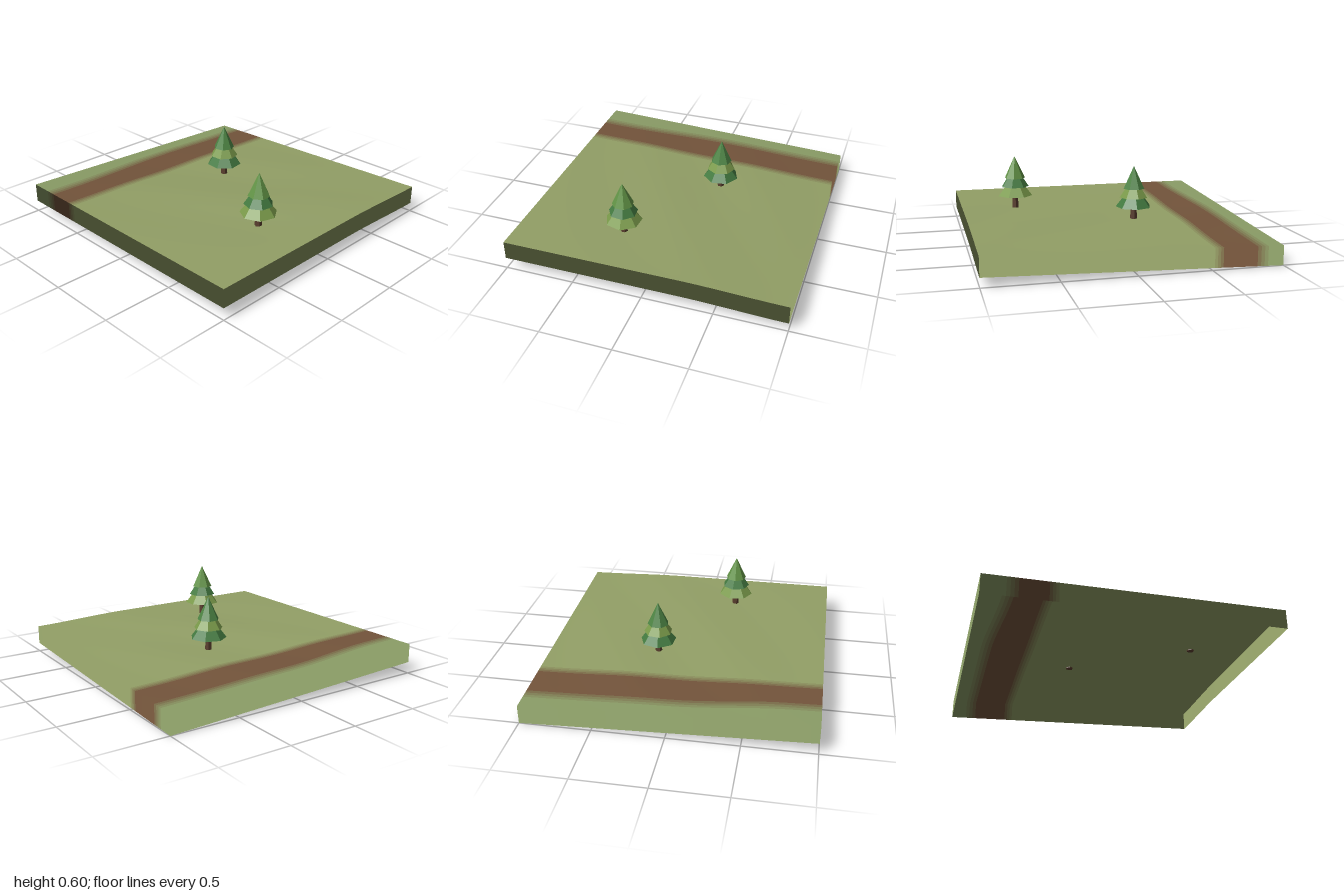
import * as THREE from 'three';
import { mergeGeometries } from 'three/addons/utils/BufferGeometryUtils.js';

const SKIRT = 0.135;
const DIRT = new THREE.Color(0x73543b);

// Ground height: level at the front, falling to the back, most of all at the back right corner (-x),
// with faint diagonal ripples that fade out towards the edges
function height(x, z) {
  const low = THREE.MathUtils.lerp(0.135, 0.218, (z + 1) / 2);
  const high = 0.221 - 0.021 * THREE.MathUtils.smoothstep(-z, 0.25, 1.05);
  const ripple = 0.006 * Math.sin(7.85 * (0.5 * x + 0.85 * z)) * (1 - x * x) * (1 - z * z);
  return THREE.MathUtils.lerp(low, high, (x + 1) / 2) + ripple;
}

// Smooth ground normal from the slope of the height rule
function groundNormal(x, z) {
  const e = 0.02;
  return new THREE.Vector3(
    height(x - e, z) - height(x + e, z), 2 * e, height(x, z - e) - height(x, z + e)).normalize();
}

// Grid surface from a rule (u, v) -> [x, y, z], shaded with the ground's normals
function sheet(nu, nv, rule) {
  const pos = [], normal = [], index = [];
  for (let j = 0; j <= nv; j++)
    for (let i = 0; i <= nu; i++) {
      const [x, y, z] = rule(i / nu, j / nv);
      pos.push(x, y, z);
      normal.push(...groundNormal(x, z));
    }
  for (let j = 0; j < nv; j++)
    for (let i = 0; i < nu; i++) {
      const a = j * (nu + 1) + i, b = a + 1, c = a + nu + 1, d = c + 1;
      index.push(a, b, d, a, d, c);
    }
  const geo = new THREE.BufferGeometry();
  geo.setAttribute('position', new THREE.Float32BufferAttribute(pos, 3));
  geo.setAttribute('normal', new THREE.Float32BufferAttribute(normal, 3));
  geo.setIndex(index);
  return geo;
}

// One lengthwise strip of ground between the edge lines x = left(z) and x = right(z),
// with the hanging skirt along whichever outer edges it reaches; open below
function strip(name, left, right, color, columns) {
  const N = 24;
  const at = (u, z, drop) => {
    const x = THREE.MathUtils.lerp(left(z), right(z), u);
    return [x, height(x, z) - drop, z];
  };
  const parts = [
    sheet(columns, N, (u, v) => at(u, 1 - 2 * v, 0)),             // top
    sheet(columns, 1, (u, v) => at(u, 1, SKIRT * (1 - v))),       // front skirt
    sheet(columns, 1, (u, v) => at(1 - u, -1, SKIRT * (1 - v))),  // back skirt
  ];
  if (left(0) === -1) parts.push(sheet(N, 1, (u, v) => at(0, 2 * u - 1, SKIRT * (1 - v))));
  if (right(0) === 1) parts.push(sheet(N, 1, (u, v) => at(1, 1 - 2 * u, SKIRT * (1 - v))));
  const material = new THREE.MeshStandardMaterial({ color, side: THREE.DoubleSide });
  const mesh = new THREE.Mesh(mergeGeometries(parts), material);
  mesh.name = name;
  return mesh;
}

// Grass sheet with a dirt path whose soft borders are narrow blended strips
function makeGround() {
  const ground = new THREE.Group();
  ground.name = 'ground';
  const fixed = x => () => x;
  const bend = x => z => x + 0.05 * THREE.MathUtils.smoothstep(z, 0, 0.8);
  const edges = [fixed(-1), bend(-0.89), bend(-0.865), bend(-0.84), bend(-0.815),
    fixed(-0.575), fixed(-0.555), fixed(-0.535), fixed(-0.515), fixed(1)];
  const dirt = [0, 0.25, 0.5, 0.75, 1, 0.75, 0.5, 0.25, 0];
  dirt.forEach((t, i) => {
    const name = t === 0 ? 'grass' : t === 1 ? 'dirtPath' : 'pathBorder';
    const columns = i === 8 ? 20 : t === 1 ? 4 : 1;
    const grass = new THREE.Color(i < 4 ? 0x8a9c66 : 0x929f66);
    ground.add(strip(name, edges[i], edges[i + 1], grass.lerp(DIRT, t), columns));
  });
  return ground;
}

// Fir tree: trunk standing in the ground and three stacked seven-sided cones
function makeTree(x, z, base, turn, colors) {
  const tree = new THREE.Group();
  tree.name = 'firTree';
  const add = (name, geo, y, color) => {
    const mesh = new THREE.Mesh(geo, new THREE.MeshStandardMaterial({ color, flatShading: true }));
    mesh.name = name;
    mesh.position.y = y;
    tree.add(mesh);
    return mesh;
  };
  const foot = height(x, z) - 0.008;
  const length = base + 0.03 - foot;
  add('trunk', new THREE.CylinderGeometry(0.021, 0.026, length, 6), foot + length / 2, 0x5a3e2e);
  // [radius, height, offset of the lower rim]
  [[0.13, 0.17, 0], [0.103, 0.155, 0.069], [0.077, 0.165, 0.133]].forEach(([r, h, up], i) => {
    const tier = add('foliageTier', new THREE.ConeGeometry(r, h, 7), base + up + h / 2, colors[i]);
    tier.rotation.y = turn + i * 0.15;
  });
  tree.position.set(x, 0, z);
  return tree;
}

export function createModel() {
  const model = new THREE.Group();
  model.name = 'meadowTile';
  model.add(makeGround());
  model.add(makeTree(-0.2, -0.2, 0.274, Math.PI - 0.08, [0x437a40, 0x7a9a4a, 0x4d8444]));
  model.add(makeTree(0.6, 0.27, 0.306, -0.06, [0x7a9a4a, 0x437a40, 0x629346]));
  return model;
}
